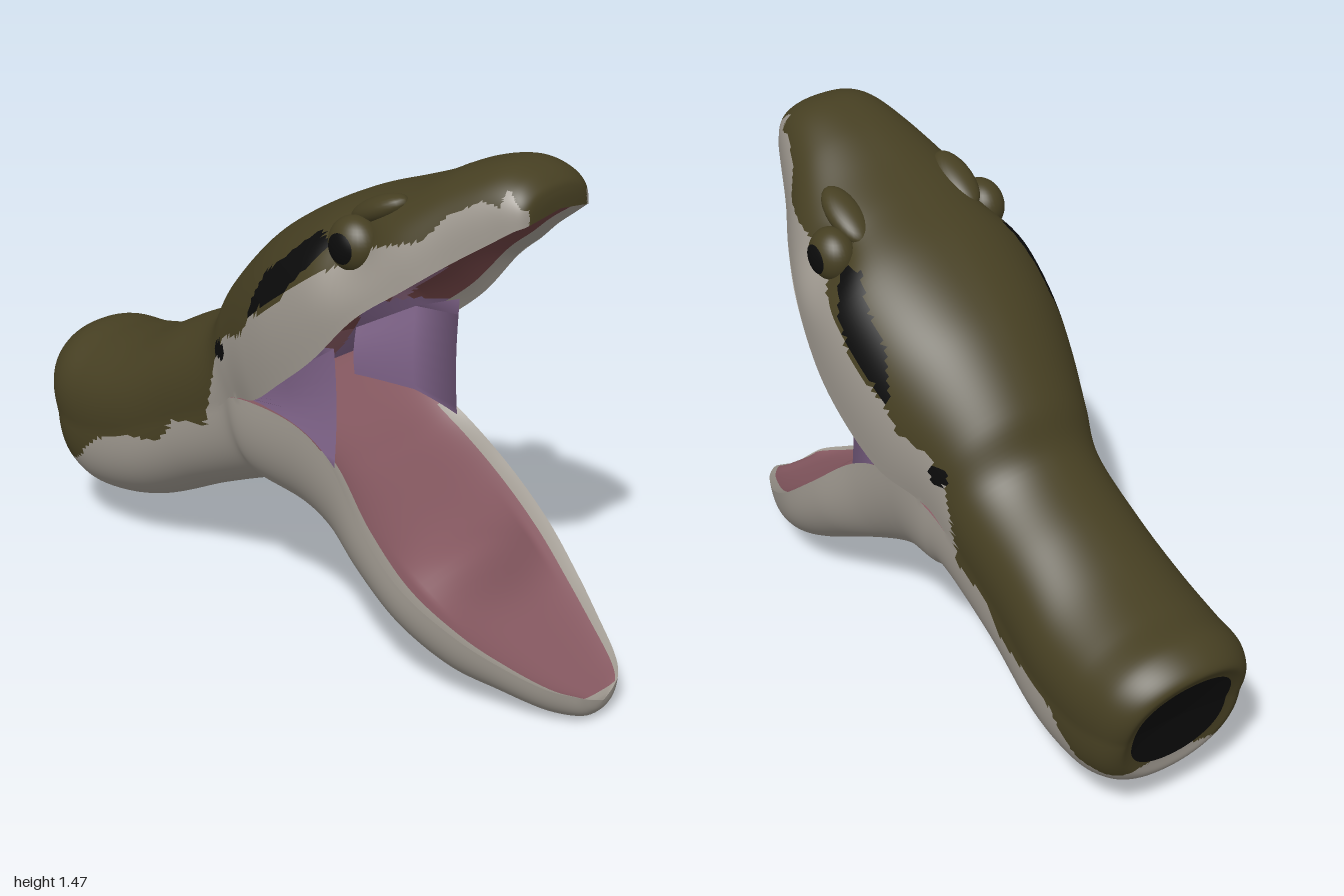
import * as THREE from 'three';
import { mergeVertices } from 'three/addons/utils/BufferGeometryUtils.js';

const mat = (name, color, side = THREE.FrontSide) => {
  const m = new THREE.MeshStandardMaterial({ color, side });
  m.name = name;
  return m;
};

// Neck sections: [top z, y, mid z, y, bottom z, y, half width]
const NECK = [
  [-0.92, 0.36, -0.92, 0.36, -0.92, 0.36, 0],
  [-0.975, 0.49, -0.925, 0.355, -0.895, 0.22, 0.14],
  [-0.995, 0.545, -0.93, 0.355, -0.885, 0.16, 0.19],
  [-0.92, 0.595, -0.88, 0.36, -0.84, 0.125, 0.23],
  [-0.8, 0.605, -0.77, 0.36, -0.75, 0.11, 0.248],
  [-0.65, 0.645, -0.61, 0.4, -0.58, 0.145, 0.25],
  [-0.5, 0.725, -0.42, 0.49, -0.35, 0.255, 0.235],
  [-0.33, 0.82, -0.2, 0.6, -0.12, 0.35, 0.235],
];
// Half sections from tail to tip: [outer z, outer y, mid z, mid y, half width]
const UPPER = [
  ...NECK.map((n) => [n[0], n[1], n[2], n[3], n[6]]),
  [-0.25, 0.95, -0.1, 0.665, 0.258],
  [-0.12, 1.09, 0.02, 0.71, 0.303],
  [0, 1.18, 0.14, 0.8, 0.33],
  [0.15, 1.265, 0.27, 0.91, 0.336],
  [0.3, 1.325, 0.4, 1.055, 0.318],
  [0.42, 1.375, 0.52, 1.15, 0.268],
  [0.55, 1.44, 0.62, 1.23, 0.212],
  [0.66, 1.472, 0.71, 1.295, 0.17],
  [0.735, 1.464, 0.765, 1.335, 0.143],
  [0.78, 1.438, 0.788, 1.348, 0.12],
  [0.794, 1.41, 0.796, 1.358, 0.08],
  [0.798, 1.37, 0.798, 1.37, 0],
];
const LOWER = [
  ...NECK.map((n) => [n[4], n[5], n[2], n[3], n[6]]),
  [-0.06, 0.345, -0.1, 0.665, 0.258],
  [0.06, 0.32, 0.1, 0.65, 0.245],
  [0.18, 0.28, 0.25, 0.585, 0.255],
  [0.33, 0.215, 0.4, 0.455, 0.292],
  [0.48, 0.13, 0.55, 0.33, 0.295],
  [0.62, 0.055, 0.7, 0.23, 0.25],
  [0.76, 0.03, 0.82, 0.165, 0.195],
  [0.88, 0.008, 0.92, 0.12, 0.14],
  [0.96, 0.012, 0.975, 0.1, 0.09],
  [0.99, 0.035, 0.993, 0.083, 0.05],
  [1, 0.065, 1, 0.065, 0],
];
const CORNER = NECK.length; // station at the corner of the mouth
const EYE = [0.242, 1.22, 0.33];

// Smooth interpolation between stations
function station(list, s) {
  const i = Math.min(Math.floor(s), list.length - 2), t = s - i;
  const at = (k) => list[Math.max(0, Math.min(list.length - 1, k))];
  const [a, b, c, d] = [at(i - 1), at(i), at(i + 1), at(i + 2)];
  return b.map((_, k) => b[k] + 0.5 * t * (c[k] - a[k] + t * (2 * a[k] - 5 * b[k] + 4 * c[k] - d[k]
    + t * (3 * (b[k] - c[k]) + d[k] - a[k]))));
}

// Piecewise linear lookup in [x, y] pairs
function lookup(pairs, x) {
  if (x <= pairs[0][0]) return pairs[0][1];
  for (let i = 1; i < pairs.length; i++) {
    const [x0, y0] = pairs[i - 1], [x1, y1] = pairs[i];
    if (x <= x1) return y0 + ((y1 - y0) * (x - x0)) / (x1 - x0);
  }
  return pairs[pairs.length - 1][1];
}

// Grid patches joined into one smooth mesh; each triangle takes a material from its rule
function surface(name, patches, materials) {
  const pos = [], buckets = materials.map(() => []);
  for (const { nu, nv, point, rule, flip } of patches) {
    const base = pos.length / 3;
    for (let i = 0; i <= nu; i++) for (let j = 0; j <= nv; j++) pos.push(...point(i / nu, j / nv));
    const add = (a, b, c, u, v) => {
      const mid = [0, 1, 2].map((k) => (pos[3 * a + k] + pos[3 * b + k] + pos[3 * c + k]) / 3);
      buckets[rule(mid, u, v)].push(...(flip ? [a, c, b] : [a, b, c]));
    };
    for (let i = 0; i < nu; i++) for (let j = 0; j < nv; j++) {
      const a = base + i * (nv + 1) + j, b = a + 1, c = a + nv + 1, d = c + 1;
      const u = (i + 0.5) / nu, v = (j + 0.5) / nv;
      add(a, b, c, u, v);
      add(b, d, c, u, v);
    }
  }
  let geo = new THREE.BufferGeometry();
  geo.setAttribute('position', new THREE.Float32BufferAttribute(pos, 3));
  geo.setIndex(buckets.flat());
  geo = mergeVertices(geo, 1e-4);
  let start = 0;
  buckets.forEach((b, k) => { geo.addGroup(start, b.length, k); start += b.length; });
  geo.computeVertexNormals();
  const mesh = new THREE.Mesh(geo, materials);
  mesh.name = name;
  return mesh;
}

// Skin markings, as curves of y over z
const SCALE_EDGE = [[-0.9, 0.215], [-0.8, 0.25], [-0.7, 0.35], [-0.6, 0.39], [-0.45, 0.42], [-0.38, 0.5], [-0.25, 0.53],
  [-0.23, 0.62], [-0.2, 0.75], [-0.15, 0.83], [-0.05, 0.87], [0, 0.94], [0.1, 1.0], [0.2, 1.1], [0.3, 1.16], [0.42, 1.24],
  [0.55, 1.28], [0.6, 1.35], [0.68, 1.4], [0.74, 1.39], [0.78, 1.35]];
const STRIPE_LOW = [[-0.01, 0.94], [0.05, 0.99], [0.13, 1.04], [0.2, 1.12], [0.26, 1.2]];
const STRIPE_HIGH = [[-0.01, 0.97], [0.03, 1.07], [0.1, 1.13], [0.2, 1.22], [0.26, 1.215]];

export function createModel() {
  const olive = mat('olive scales', 0x463f22);
  const cream = mat('cream belly', 0x9c968d, THREE.DoubleSide);
  const black = mat('black markings', 0x0b0b0b);
  const pink = mat('pink mouth', 0x855860, THREE.DoubleSide);
  const purple = mat('purple membrane', 0x80648a, THREE.DoubleSide);
  const mauve = mat('mauve palate ridges', 0x87627a, THREE.DoubleSide);
  const red = mat('dark red palate', 0x6b4041, THREE.DoubleSide);
  const group = new THREE.Group();
  group.name = 'snakeHead';

  // Outer skin: upper and lower halves that part at the corner of the mouth
  const skinRule = (list) => ([x, y, z], u) => {
    if (u * (list.length - 1) < 1.15) return 2;
    if (Math.abs(x) > 0.15 && z > -0.01 && z < 0.26 && y > lookup(STRIPE_LOW, z) && y < lookup(STRIPE_HIGH, z)) return 2;
    if (Math.hypot(z + 0.175, y - 0.78) < 0.028 && Math.abs(x) > 0.1) return 2;
    const edge = lookup(SCALE_EDGE, z) + (z > 0.73 && Math.abs(x) > 0.11 ? 0.04 : 0);
    return y > edge ? 0 : 1;
  };
  const half = (list, boxy, flip) => ({
    nu: (list.length - 1) * 8, nv: 72, flip, rule: skinRule(list),
    point: (u, v) => {
      const s = u * (list.length - 1);
      const [oz, oy, mz, my, w] = station(list, s);
      const k = 0.9 - boxy * THREE.MathUtils.smoothstep(s, CORNER, CORNER + 4);
      const a = v * Math.PI, c = Math.cos(a), h = Math.max(0, Math.sin(a)) ** k;
      const y = my + (oy - my) * h, z = mz + (oz - mz) * h;
      // shallow socket around each eye
      const socket = 1 - 0.19 * Math.exp(-((y - EYE[1]) ** 2 + (z - EYE[2]) ** 2) / 0.008);
      return [Math.sign(c) * Math.abs(c) ** k * w * (1 + 0.06 * Math.abs(Math.sin(2 * a))) * socket, y, z];
    },
  });
  group.add(surface('skin', [half(UPPER, 0.1, false), half(LOWER, 0, true)], [olive, cream, black]));

  // Mouth lining: vaulted palate and shallow floor with a tongue swelling, spanning lip to lip
  const lining = (list, depth, power, swelling, flip, rule) => ({
    nu: (list.length - CORNER) * 8, nv: 60, flip, rule,
    point: (u, v) => {
      const s = CORNER - 1 + u * (list.length - CORNER), t = 1 - 2 * v;
      const [oz, oy, mz, my, w] = station(list, s);
      const tongue = swelling * Math.exp(-(((s - CORNER - 4.1) / 0.5) ** 2)) * Math.max(0, 1 - (t / 0.75) ** 2);
      const d = depth * Math.min(1, Math.max(0, s - CORNER) / 2) * (1 - Math.abs(t) ** power) - tongue;
      return [w * t, my + (oy - my) * d, mz + (oz - mz) * d];
    },
  });
  const palateRule = ([px, y], u, v) => {
    const t = Math.abs(1 - 2 * v), x = Math.abs(px);
    if ((t > 0.9 && u > 0.2) || u > 0.98) return 1;
    if (y < 0.87 && x > 0.11) return 2;
    if (y < 0.79) return 3;
    const ridge = x > 0.05 + 0.25 * (1.33 - y) && x < 0.1 + 0.25 * (1.33 - y) && y > 1.08 && y < 1.35;
    return ridge || (x > 0.18 && x < 0.225 && y < 1.0) ? 4 : 0;
  };
  const floorRule = (p, u, v) => (u > 0.25 && Math.abs(1 - 2 * v) > 0.87) || u > 0.85 ? 1 : 0;
  group.add(surface('palate', [lining(UPPER, 0.45, 2.2, 0, true, palateRule)], [red, cream, purple, pink, mauve]));
  group.add(surface('mouthFloor', [lining(LOWER, 0.14, 4, 0.26, false, floorRule)], [pink, cream]));

  // Cheek membranes: outer sheet that folds inward towards the throat
  const upperLip = UPPER.slice(CORNER).map((s) => [s[2], s[3]]);
  const lowerLip = LOWER.slice(CORNER).map((s) => [s[2], s[3]]);
  const fold = [[0.248, -0.1, 0], [0.244, 0.08, 0.03], [0.245, 0.26, 0.01], [0.2, 0.14, 0.07], [0.11, 0, 0.09]];
  for (const side of [1, -1]) {
    const sheet = {
      nu: 4, nv: 8, rule: () => 0,
      point: (u, v) => {
        const [x, z, reach] = fold[Math.round(u * 4)];
        const top = lookup(upperLip, z) + reach, low = lookup(lowerLip, z) - (u > 0 ? 0.03 : 0);
        return [side * (x - 0.01 * Math.sin(v * Math.PI)), top + (low - top) * v, z];
      },
    };
    group.add(surface(side > 0 ? 'leftCheek' : 'rightCheek', [sheet], [purple]));

    // Eyes with a thin round pupil facing sideways
    const eye = new THREE.Group();
    eye.name = side > 0 ? 'leftEye' : 'rightEye';
    const ball = new THREE.Mesh(new THREE.SphereGeometry(0.075, 32, 20), olive);
    ball.name = 'eyeball';
    const pupil = new THREE.Mesh(new THREE.SphereGeometry(0.078, 28, 6, 0, Math.PI * 2, 0, 0.56), black);
    pupil.name = 'pupil';
    pupil.rotation.z = (-side * Math.PI) / 2;
    eye.add(ball, pupil);
    eye.scale.x = 0.82;
    eye.position.set(side * EYE[0], EYE[1], EYE[2]);
    group.add(eye);

    // Brow ridge above the eye
    const brow = new THREE.Mesh(new THREE.SphereGeometry(1, 24, 16), olive);
    brow.name = side > 0 ? 'leftBrow' : 'rightBrow';
    brow.scale.set(0.05, 0.035, 0.1);
    brow.position.set(side * 0.18, 1.305, 0.36);
    brow.rotation.x = -0.45;
    group.add(brow);
  }
  return group;
}
